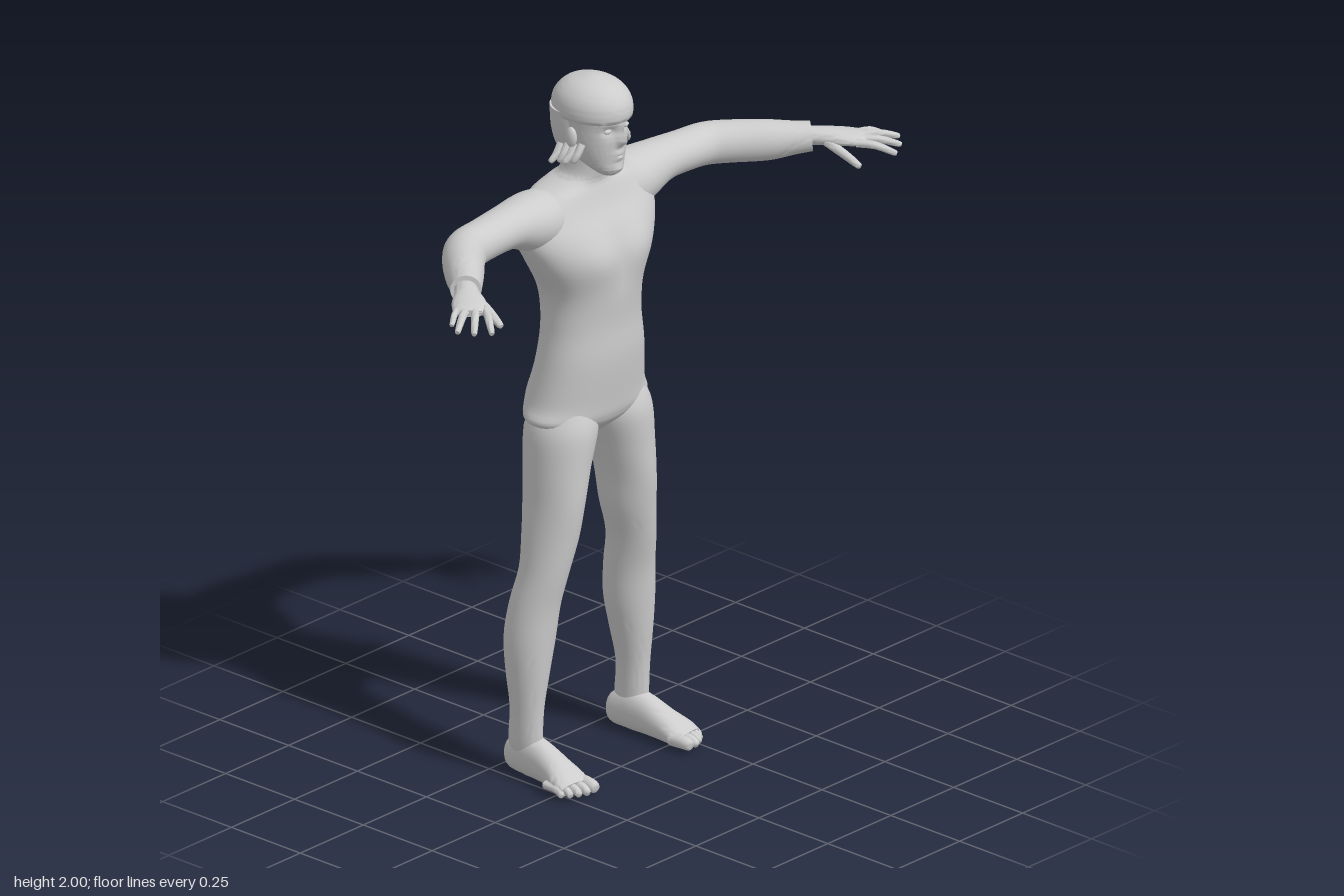
import * as THREE from 'three';
import { toCreasedNormals } from 'three/addons/utils/BufferGeometryUtils.js';

const skin = new THREE.MeshStandardMaterial({ color: 0xcccccc });
skin.name = 'plain grey';

const bump = (d, w) => Math.exp(-(d * d) / (w * w));

// Smooth interpolation through rows of numbers
function smoothRows(rows, sub) {
  const out = [], last = rows.length - 1;
  const at = (i) => rows[Math.max(0, Math.min(last, i))];
  for (let i = 0; i < last; i++) {
    for (let s = 0; s < sub; s++) {
      const t = s / sub;
      out.push(rows[0].map((_, k) => {
        const a = at(i - 1)[k], b = at(i)[k], c = at(i + 1)[k], d = at(i + 2)[k];
        return b + 0.5 * t * (c - a + t * (2 * a - 5 * b + 4 * c - d + t * (3 * (b - c) + d - a)));
      }));
    }
  }
  out.push(rows[last]);
  return out;
}

// Skin over oval sections [x, y, z, radiusU, radiusV].
// Upright sections stay level; the others turn with the path.
function loft(rows, { upright = false, sides = 28, sub = 4, power = 2, warp } = {}) {
  const secs = smoothRows(rows, sub), pos = [], idx = [];
  const centres = secs.map((r) => new THREE.Vector3(r[0], r[1], r[2]));
  const up = new THREE.Vector3(0, 1, 0);
  const shape = (v) => Math.sign(v) * Math.abs(v) ** (2 / power);
  secs.forEach((r, i) => {
    const U = new THREE.Vector3(1, 0, 0), V = new THREE.Vector3(0, 0, -1);
    if (!upright) {
      const D = centres[Math.min(i + 1, secs.length - 1)].clone().sub(centres[Math.max(i - 1, 0)]).normalize();
      U.crossVectors(up, D).normalize();
      V.crossVectors(D, U);
    }
    for (let j = 0; j < sides; j++) {
      const a = (j / sides) * Math.PI * 2;
      const p = centres[i].clone().addScaledVector(U, r[3] * shape(Math.cos(a))).addScaledVector(V, r[4] * shape(Math.sin(a)));
      if (warp) warp(p, r);
      pos.push(p.x, p.y, p.z);
    }
  });
  const n = secs.length;
  for (let i = 0; i < n - 1; i++) {
    for (let j = 0; j < sides; j++) {
      const a = i * sides + j, b = i * sides + (j + 1) % sides;
      idx.push(a, b, a + sides, b, b + sides, a + sides);
    }
  }
  const c0 = n * sides, top = (n - 1) * sides;
  pos.push(...centres[0].toArray(), ...centres[n - 1].toArray());
  for (let j = 0; j < sides; j++) {
    const k = (j + 1) % sides;
    idx.push(c0, k, j, c0 + 1, top + j, top + k);
  }
  const g = new THREE.BufferGeometry();
  g.setAttribute('position', new THREE.Float32BufferAttribute(pos, 3));
  g.setIndex(idx);
  return toCreasedNormals(g, 1.1);
}

// Mirrored copy across x = 0 with corner order restored
function mirrored(geo) {
  const g = (geo.index ? geo.toNonIndexed() : geo.clone()).scale(-1, 1, 1);
  for (const name of ['position', 'normal']) {
    const a = g.attributes[name];
    for (let i = 0; i < a.count; i += 3) {
      const p = new THREE.Vector3().fromBufferAttribute(a, i + 1);
      const q = new THREE.Vector3().fromBufferAttribute(a, i + 2);
      a.setXYZ(i + 1, q.x, q.y, q.z);
      a.setXYZ(i + 2, p.x, p.y, p.z);
    }
  }
  return g;
}

// Slender rounded digit through three points
function digit(base, mid, tip, r) {
  const end = tip.map((v, i) => v + (v - mid[i]) * 0.06);
  return loft([[...base, r, r], [...mid, r * 0.95, r * 0.95], [...tip, r * 0.7, r * 0.7], [...end, r * 0.15, r * 0.15]], { sides: 10, sub: 3 });
}

export function createModel() {
  const model = new THREE.Group();
  model.name = 'standingFigure';
  const add = (name, geo) => {
    const m = new THREE.Mesh(geo, skin);
    m.name = name;
    model.add(m);
  };
  const pair = (name, geo) => {
    add(name + 'Left', geo);
    add(name + 'Right', mirrored(geo));
  };

  // Torso and neck, with chest, shoulder blades, spine groove and buttocks
  add('torso', loft([
    [0, 0.965, -0.12, 0.03, 0.04], [0, 1.0, -0.125, 0.135, 0.085], [0, 1.03, -0.13, 0.207, 0.108],
    [0, 1.08, -0.13, 0.192, 0.116], [0, 1.2, -0.113, 0.17, 0.113], [0, 1.3, -0.11, 0.155, 0.11],
    [0, 1.4, -0.113, 0.16, 0.12], [0, 1.5, -0.12, 0.212, 0.125], [0, 1.57, -0.136, 0.243, 0.12],
    [0, 1.63, -0.148, 0.235, 0.1], [0, 1.675, -0.148, 0.18, 0.082], [0, 1.7, -0.145, 0.105, 0.072],
    [0, 1.725, -0.132, 0.068, 0.064], [0, 1.8, -0.115, 0.06, 0.062],
  ], {
    upright: true, sides: 64, sub: 5, power: 2.15,
    warp(p, r) {
      const x = Math.abs(p.x), y = p.y, side = (p.z - r[2]) / r[4];
      if (side > 0) {
        p.z += side * (0.014 * bump(x - 0.09, 0.07) * bump(y - 1.5, 0.07) - 0.006 * bump(x, 0.015) * bump(y - 1.5, 0.09));
      } else {
        p.z += side * (0.02 * bump(x - 0.085, 0.06) * bump(y - 1.065, 0.06) + 0.016 * bump(x - 0.1, 0.06) * bump(y - 1.58, 0.09)
          - 0.03 * bump(x, 0.018) * bump(y - 1.05, 0.06) - 0.016 * bump(x, 0.03) * bump(y - 1.42, 0.2));
      }
    },
  }));

  // Head with brow, eye sockets, nose, lips and chin
  add('head', loft([
    [0, 1.73, -0.045, 0.022, 0.022], [0, 1.745, -0.052, 0.042, 0.042], [0, 1.78, -0.088, 0.065, 0.081],
    [0, 1.82, -0.1, 0.077, 0.096], [0, 1.87, -0.106, 0.085, 0.104], [0, 1.92, -0.108, 0.09, 0.108],
    [0, 1.96, -0.108, 0.075, 0.088], [0, 1.985, -0.108, 0.04, 0.05],
  ], {
    upright: true, sides: 72, sub: 7, power: 2.1,
    warp(p, r) {
      if (p.z < r[2]) return;
      const x = Math.abs(p.x), y = p.y;
      p.z += 0.024 * bump(x, 0.012) * bump(y - 1.838, 0.016) + 0.012 * bump(x, 0.009) * bump(y - 1.865, 0.022)
        - 0.01 * bump(x - 0.034, 0.018) * bump(y - 1.868, 0.014) + 0.006 * bump(x, 0.055) * bump(y - 1.888, 0.01)
        + 0.007 * bump(x, 0.02) * bump(y - 1.798, 0.005) + 0.007 * bump(x, 0.018) * bump(y - 1.784, 0.005)
        + 0.006 * bump(x, 0.02) * bump(y - 1.75, 0.012);
    },
  }));
  pair('eye', new THREE.SphereGeometry(0.012, 14, 10).scale(1.1, 0.6, 0.6).translate(0.034, 1.868, -0.017));
  pair('ear', new THREE.SphereGeometry(0.03, 14, 10).scale(0.4, 1, 0.6).translate(0.089, 1.845, -0.1));

  // Close-cropped hair, nape and loose tufts
  add('hairCap', loft([
    [0, 1.893, -0.105, 0.094, 0.115], [0, 1.9, -0.105, 0.097, 0.119], [0, 1.93, -0.105, 0.097, 0.118],
    [0, 1.96, -0.105, 0.085, 0.102], [0, 1.985, -0.105, 0.057, 0.07], [0, 2.0, -0.105, 0.012, 0.015],
  ], { upright: true, sides: 40 }));
  add('hairBack', loft([
    [0, 1.765, -0.145, 0.05, 0.045], [0, 1.8, -0.145, 0.076, 0.065], [0, 1.85, -0.143, 0.09, 0.078],
    [0, 1.91, -0.14, 0.095, 0.084],
  ], { upright: true, sides: 36 }));
  for (let i = 0; i < 4; i++) {
    const z = -0.07 - i * 0.025, y = 1.83 - i * 0.006;
    pair('hairTuft' + (i + 1), digit([0.08, y, z], [0.098, y - 0.025, z], [0.108 + 0.008 * (i % 2), y - 0.045, z - 0.006], 0.011));
  }

  // Arms with cuffs, bent forward at the elbows
  pair('arm', loft([
    [0.1, 1.6, -0.15, 0.07, 0.06], [0.16, 1.613, -0.15, 0.085, 0.083], [0.22, 1.625, -0.148, 0.083, 0.078],
    [0.3, 1.64, -0.14, 0.068, 0.06], [0.39, 1.638, -0.136, 0.062, 0.056], [0.47, 1.635, -0.127, 0.06, 0.058],
    [0.53, 1.634, -0.087, 0.058, 0.058], [0.6, 1.635, -0.02, 0.053, 0.056], [0.65, 1.64, 0.03, 0.046, 0.046],
    [0.685, 1.643, 0.063, 0.042, 0.041],
  ], { sides: 32, sub: 5 }));

  // Hands: palm, four fingers and thumb
  pair('palm', loft([
    [0.66, 1.645, 0.035, 0.03, 0.026], [0.7, 1.645, 0.08, 0.033, 0.025], [0.738, 1.643, 0.122, 0.046, 0.021],
    [0.77, 1.64, 0.158, 0.048, 0.016], [0.782, 1.638, 0.171, 0.04, 0.01],
  ], { sides: 24 }));
  const tips = [[0.855, 1.628, 0.168], [0.872, 1.625, 0.205], [0.843, 1.62, 0.238], [0.8, 1.615, 0.262]];
  tips.forEach((tip, i) => {
    const k = 0.038 - i * 0.025;
    const base = [0.764 + 0.75 * k, 1.64, 0.155 - 0.66 * k];
    const mid = base.map((v, n) => (v + tip[n]) / 2 + (n === 1 ? 0.008 : 0));
    pair('finger' + (i + 1), digit(base, mid, tip, i ? 0.0115 : 0.0095));
  });
  pair('thumb', digit([0.695, 1.637, 0.11], [0.703, 1.615, 0.165], [0.711, 1.592, 0.212], 0.0135));

  // Legs
  pair('leg', loft([
    [0.205, 0.05, -0.155, 0.03, 0.05], [0.21, 0.1, -0.155, 0.036, 0.053], [0.21, 0.2, -0.15, 0.041, 0.051],
    [0.205, 0.3, -0.152, 0.055, 0.063], [0.197, 0.4, -0.152, 0.068, 0.072], [0.187, 0.5, -0.142, 0.067, 0.072],
    [0.172, 0.6, -0.122, 0.063, 0.073], [0.153, 0.7, -0.117, 0.069, 0.085], [0.141, 0.8, -0.115, 0.071, 0.095],
    [0.126, 0.9, -0.118, 0.083, 0.1], [0.107, 1.0, -0.12, 0.097, 0.103], [0.1, 1.06, -0.12, 0.08, 0.085],
  ], { upright: true, sides: 36 }));

  // Bare feet with five toes each
  pair('foot', loft([
    [0.2, 0.045, -0.225, 0.015, 0.022], [0.201, 0.047, -0.205, 0.034, 0.044], [0.205, 0.06, -0.15, 0.039, 0.06],
    [0.208, 0.057, -0.1, 0.04, 0.057], [0.213, 0.044, -0.04, 0.045, 0.044], [0.221, 0.031, 0.01, 0.055, 0.031],
    [0.225, 0.022, 0.038, 0.05, 0.02],
  ], { sides: 30, power: 2.2 }));
  const toes = [[0.187, 0.08, 0.02], [0.214, 0.077, 0.014], [0.236, 0.067, 0.013], [0.255, 0.053, 0.012], [0.271, 0.035, 0.012]];
  toes.forEach(([x, z, r], i) => {
    pair('toe' + (i + 1), digit([x - 0.003, 0.026, z - 0.065], [x, 0.026, z - 0.022], [x + 0.002, r + 0.001, z], r));
  });

  return model;
}
